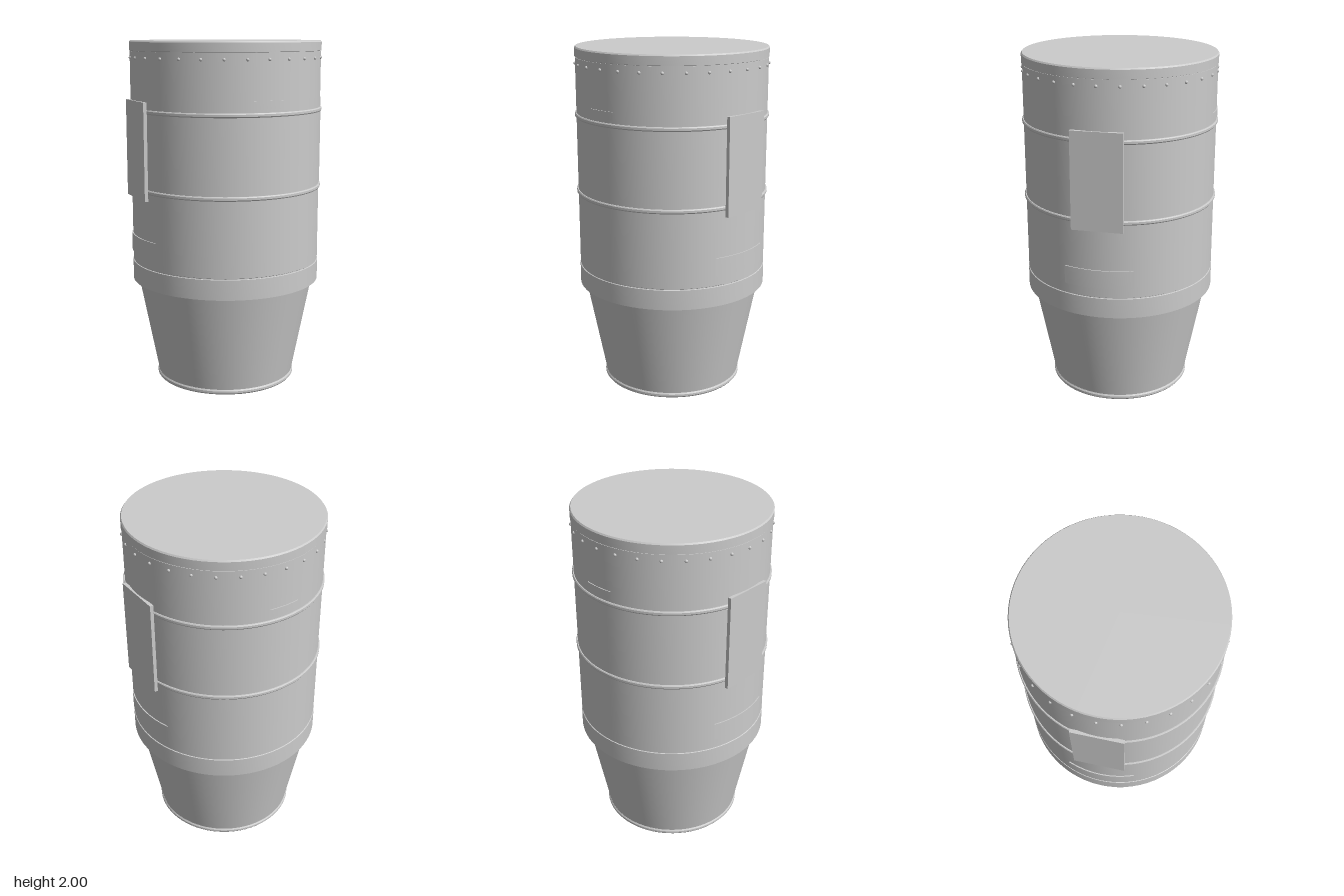
import * as THREE from 'three';
import { toCreasedNormals } from 'three/addons/utils/BufferGeometryUtils.js';

const SEGMENTS = 72;

export function createModel() {
  const model = new THREE.Group();
  const grey = new THREE.MeshStandardMaterial({ color: 0xcccccc });

  const add = (name, geometry, x = 0, y = 0, z = 0) => {
    const mesh = new THREE.Mesh(geometry, grey);
    mesh.name = name;
    mesh.position.set(x, y, z);
    model.add(mesh);
    return mesh;
  };

  // Turned part from [radius, height] pairs, outside running upwards
  const turned = (name, profile, start = 0, sweep = Math.PI * 2, segments = SEGMENTS) => {
    const points = profile.map(([r, y]) => new THREE.Vector2(r, y));
    const geometry = new THREE.LatheGeometry(points, segments, start, sweep);
    return add(name, toCreasedNormals(geometry, 0.5));
  };

  // Main casing, with a recess around the nozzle and a seam groove
  turned('casing', [
    [0, 0.64], [0.537, 0.64], [0.537, 0.607], [0.552, 0.607],
    [0.552, 0.722], [0.547, 0.724], [0.547, 0.728], [0.55, 0.73],
    [0.55, 1.94], [0, 1.94],
  ]);

  // Flat lid with a small chamfer
  turned('lid', [
    [0, 1.935], [0.547, 1.935], [0.547, 1.942], [0.553, 1.944],
    [0.553, 1.992], [0.547, 2], [0, 2],
  ]);

  // Raised ribs around the casing
  for (const y of [1.17, 1.615]) {
    turned('rib', [
      [0.54, y - 0.012], [0.555, y - 0.012], [0.559, y - 0.006],
      [0.559, y + 0.006], [0.555, y + 0.012], [0.54, y + 0.012],
    ]);
  }

  // Hollow tapered nozzle with a rolled lip
  turned('nozzle', [
    [0.395, 0.02], [0.405, 0.02], [0.526, 0.64], [0.51, 0.64], [0.395, 0.02],
  ]);
  turned('nozzleLip', [
    [0.39, 0.004], [0.396, 0], [0.407, 0], [0.413, 0.008],
    [0.413, 0.02], [0.407, 0.028], [0.396, 0.028], [0.39, 0.022], [0.39, 0.004],
  ]);

  // Pointed plug inside the nozzle
  turned('exhaustPlug', [
    [0, 0.125], [0.085, 0.22], [0.1, 0.27], [0.2, 0.3], [0.22, 0.36], [0.25, 0.64],
  ]);

  // Ring of rivets below the lid
  const rivets = new THREE.Group();
  rivets.name = 'rivets';
  const rivetGeometry = new THREE.SphereGeometry(0.009, 10, 8);
  for (let i = 0; i < 28; i++) {
    const angle = (i / 28) * Math.PI * 2;
    const rivet = new THREE.Mesh(rivetGeometry, grey);
    rivet.name = 'rivet';
    rivet.position.set(Math.sin(angle) * 0.55, 1.905, Math.cos(angle) * 0.55);
    rivets.add(rivet);
  }
  model.add(rivets);

  // Flat side plates and thin curved patches below them
  for (const side of [-1, 1]) {
    add('sidePlate', new THREE.BoxGeometry(0.02, 0.55, 0.288), side * 0.55, 1.395, 0);
    turned('sidePatch', [
      [0.545, 0.785], [0.556, 0.785], [0.556, 0.89], [0.545, 0.89],
    ], side * Math.PI / 2 - 0.36, 0.72, 12);
  }

  // Small tabs at front and back, above the upper rib
  for (const side of [-1, 1]) {
    turned('tab', [
      [0.545, 1.645], [0.555, 1.645], [0.555, 1.69], [0.545, 1.69],
    ], (side > 0 ? 0 : Math.PI) - 0.16, 0.32, 8);
  }

  return model;
}
